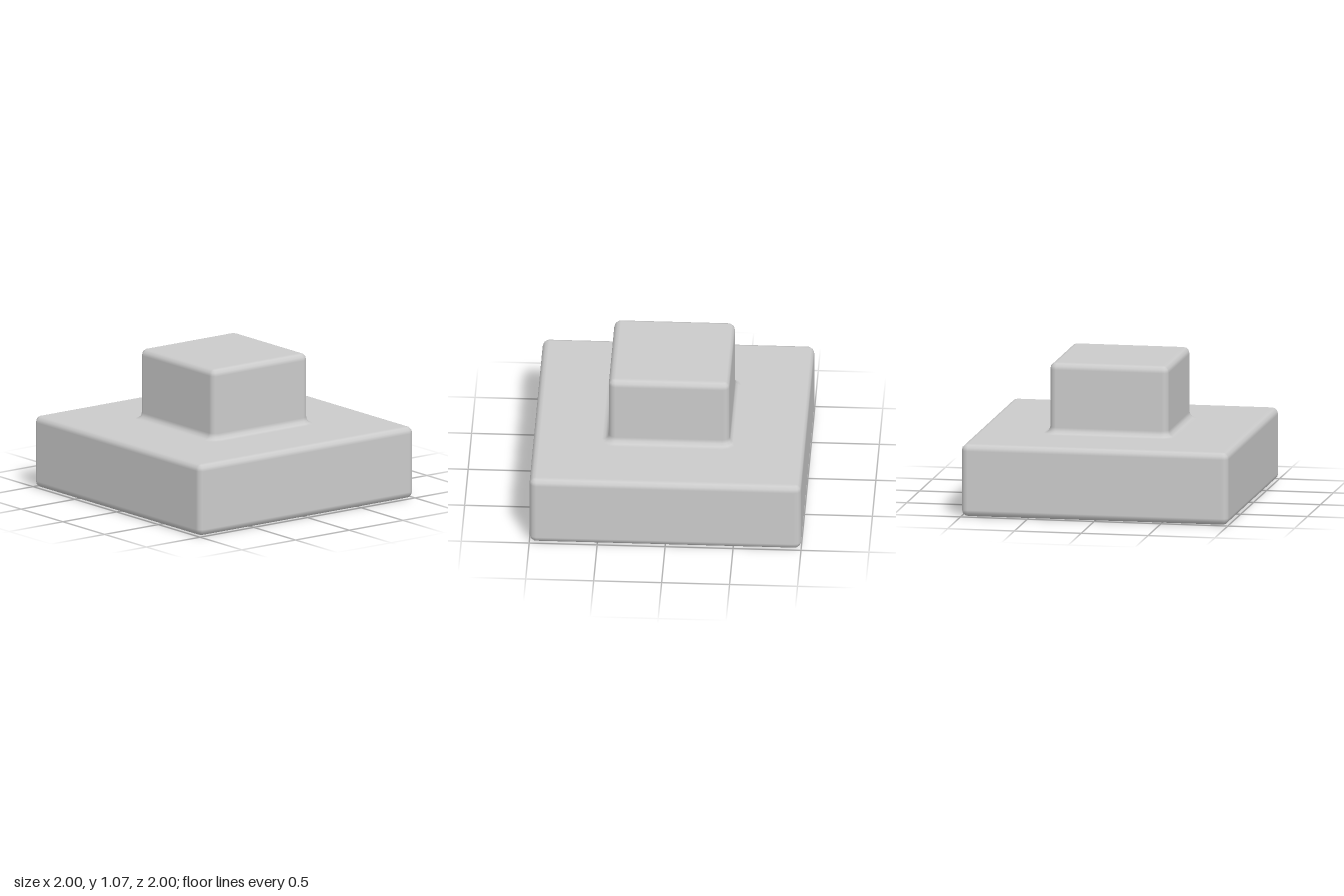
import * as THREE from 'three';

const STEPS = 3;      // segments per rounded edge
const R = 0.05;       // edge radius
const BASE = 0.95;    // half-size of base inside its rounding
const BLOCK = 0.395;  // half-size of upper block inside its rounding
const BASE_TOP = 0.54, TOP = 1.07;

// Lofts rounded-square sections {core, r, y, a}; a is the tilt of the surface normal.
function loftSquares(sections) {
  const positions = [], normals = [], index = [];
  const count = 4 * (STEPS + 1);
  for (const { core, r, y, a } of sections) {
    for (let q = 0; q < 4; q++) {
      const mid = (q + 0.5) * Math.PI / 2;
      const sx = Math.sign(Math.cos(mid)), sz = Math.sign(Math.sin(mid));
      for (let s = 0; s <= STEPS; s++) {
        const t = (q + s / STEPS) * Math.PI / 2;
        const c = Math.cos(t), d = Math.sin(t);
        positions.push(sx * core + r * c, y, sz * core + r * d);
        normals.push(Math.cos(a) * c, Math.sin(a), Math.cos(a) * d);
      }
    }
  }
  for (let i = 0; i < sections.length - 1; i++) {
    for (let j = 0; j < count; j++) {
      const k = (j + 1) % count;
      const p = i * count + j, n = i * count + k;
      index.push(p, p + count, n, n, p + count, n + count);
    }
  }
  const geometry = new THREE.BufferGeometry();
  geometry.setAttribute('position', new THREE.Float32BufferAttribute(positions, 3));
  geometry.setAttribute('normal', new THREE.Float32BufferAttribute(normals, 3));
  geometry.setIndex(index);
  return geometry;
}

// Quarter-round edge around a core square, from tilt a0 to a1
function roundEdge(core, y, a0, a1) {
  return Array.from({ length: STEPS + 1 }, (_, i) => {
    const a = a0 + (a1 - a0) * i / STEPS;
    return { core, r: R * Math.cos(a), y: y + R * Math.sin(a), a };
  });
}

// Hollow fillet where the block meets the base
function fillet(core, y) {
  return Array.from({ length: STEPS + 1 }, (_, i) => {
    const a = (1 - i / STEPS) * Math.PI / 2;
    return { core, r: R * (2 - Math.cos(a)), y: y + R * (1 - Math.sin(a)), a };
  });
}

export function createModel() {
  const group = new THREE.Group();
  group.name = 'steppedBlock';
  const material = new THREE.MeshStandardMaterial({ color: 0xcccccc });
  const H = Math.PI / 2;
  const add = (name, sections) => {
    const mesh = new THREE.Mesh(loftSquares(sections), material);
    mesh.name = name;
    group.add(mesh);
  };

  // Wide base slab, with its top face running in to the fillet
  add('base', [
    { core: 0, r: 0, y: 0, a: -H },
    ...roundEdge(BASE, R, -H, 0),
    ...roundEdge(BASE, BASE_TOP - R, 0, H),
    { core: BLOCK, r: 2 * R, y: BASE_TOP, a: H },
  ]);

  // Smaller block rising from the base
  add('upperBlock', [
    ...fillet(BLOCK, BASE_TOP),
    ...roundEdge(BLOCK, TOP - R, 0, H),
    { core: 0, r: 0, y: TOP, a: H },
  ]);
  return group;
}
